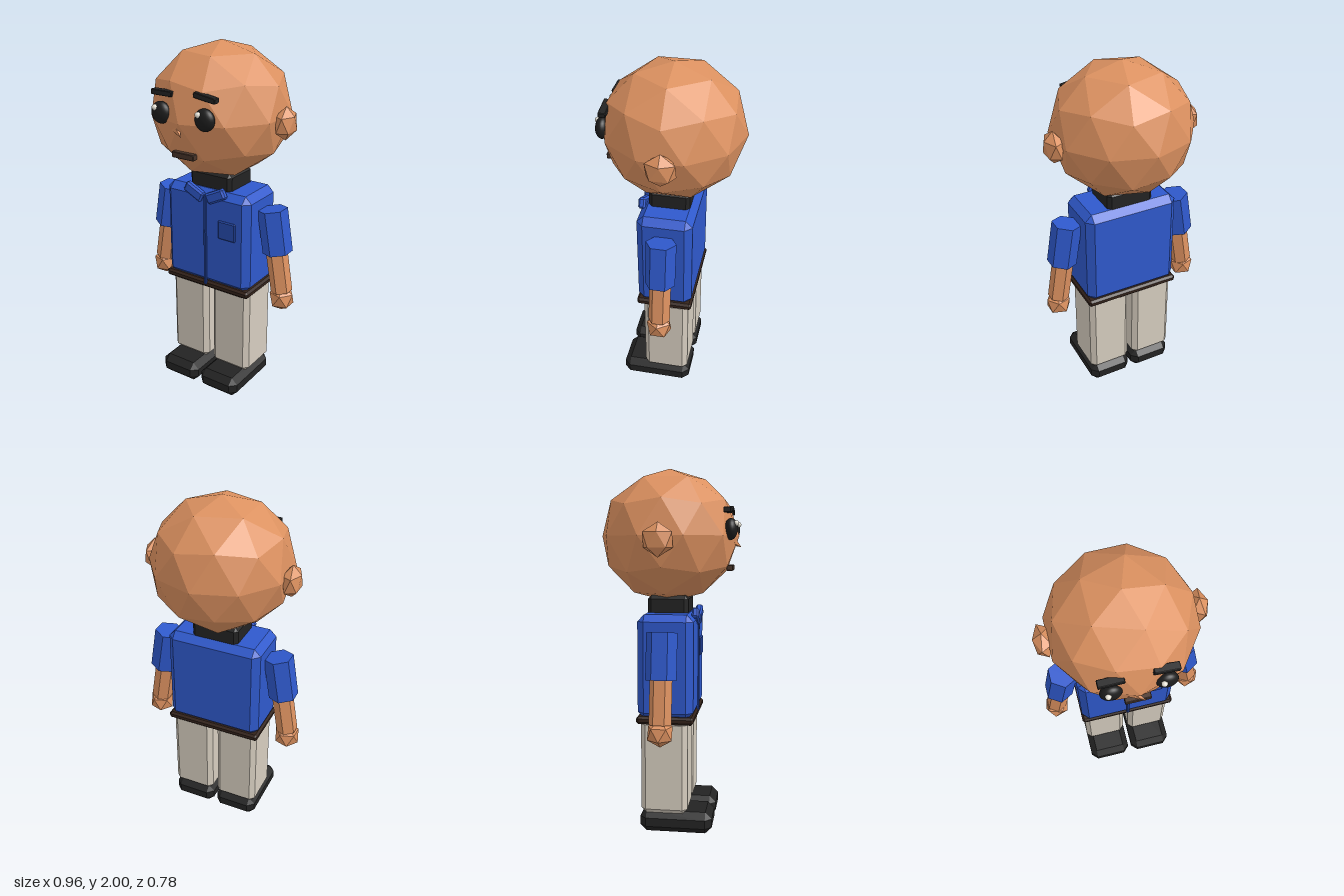
import * as THREE from 'three';
import { ConvexGeometry } from 'three/addons/geometries/ConvexGeometry.js';

const mat = (name, color, flatShading = true) => {
  const m = new THREE.MeshStandardMaterial({ color });
  m.name = name;
  m.flatShading = flatShading;
  return m;
};

export function createModel() {
  const skin = mat('skin', 0xdc9160);
  const blue = mat('shirt blue', 0x2f59cc);
  const darkBlue = mat('dark blue', 0x274bae);
  const beige = mat('trouser beige', 0xd6cdbf);
  const black = mat('black', 0x232323);
  const eyeBlack = mat('eye black', 0x1c1c1c, false);
  const brown = mat('belt brown', 0x33221a);
  const lip = mat('mouth brown', 0x49352a);
  const white = mat('eye highlight', 0xe6e2d6, false);

  const model = new THREE.Group();
  model.name = 'standingMan';

  const add = (name, geometry, material, x, y, z, parent = model) => {
    const mesh = new THREE.Mesh(geometry, material);
    mesh.name = name;
    mesh.position.set(x, y, z);
    parent.add(mesh);
    return mesh;
  };

  // Box with every edge cut by a single flat chamfer
  const chamferBox = (w, h, d, b) => {
    const points = [];
    for (const sx of [-1, 1]) for (const sy of [-1, 1]) for (const sz of [-1, 1]) {
      const x = w / 2, y = h / 2, z = d / 2;
      points.push(
        new THREE.Vector3(sx * x, sy * (y - b), sz * (z - b)),
        new THREE.Vector3(sx * (x - b), sy * y, sz * (z - b)),
        new THREE.Vector3(sx * (x - b), sy * (y - b), sz * z));
    }
    return new ConvexGeometry(points);
  };

  // Icosahedral ball with a corner pointing up and an upper ring corner on +x
  const icoBall = (rx, ry, rz, detail) =>
    new THREE.IcosahedronGeometry(1, detail)
      .rotateX(-Math.atan((1 + Math.sqrt(5)) / 2))
      .rotateY(Math.PI / 2)
      .scale(rx, ry, rz);

  // Head and neck
  add('head', icoBall(0.388, 0.367, 0.386, 1), skin, 0, 1.633, -0.005);
  add('neck', chamferBox(0.27, 0.15, 0.225, 0.02), black, 0, 1.235, 0);

  // Face
  const brow = chamferBox(0.13, 0.028, 0.04, 0.003);
  add('rightBrow', brow, black, -0.132, 1.768, 0.325);
  add('leftBrow', brow, black, 0.132, 1.776, 0.325).rotation.z = -0.15;
  add('mouth', chamferBox(0.136, 0.032, 0.035, 0.003), lip, 0, 1.46, 0.334);

  const noseBase = new THREE.Vector3(-0.04, 1.603, 0.345);
  const noseTip = new THREE.Vector3(0.025, 1.572, 0.392);
  const noseAxis = noseTip.clone().sub(noseBase);
  const noseMid = noseBase.clone().add(noseTip).multiplyScalar(0.5);
  add('nose', new THREE.ConeGeometry(0.025, noseAxis.length(), 4), skin, ...noseMid)
    .quaternion.setFromUnitVectors(new THREE.Vector3(0, 1, 0), noseAxis.normalize());

  const eye = new THREE.SphereGeometry(1, 24, 16).scale(0.056, 0.058, 0.036);
  const glint = new THREE.SphereGeometry(0.016, 12, 8);

  for (const s of [-1, 1]) {
    const side = s > 0 ? 'left' : 'right';

    add(side + 'Eye', eye, eyeBlack, s * 0.136, 1.668, 0.342);
    add(side + 'EyeHighlight', glint, white, s * 0.134 - 0.02, 1.697, 0.37);
    add(side + 'Ear', icoBall(0.055, 0.09, 0.09, 0), skin, s * 0.392, 1.61, -0.013)
      .rotation.y = s > 0 ? 0 : Math.PI;

    // Collar flaps drop towards the middle
    add(side + 'CollarFlap', chamferBox(0.125, 0.062, 0.04, 0.01), blue, s * 0.071, 1.193, 0.152)
      .rotation.z = s * 0.46;

    // Arm: sleeve, forearm and hand, leaning outwards
    const arm = new THREE.Group();
    arm.name = side + 'Arm';
    model.add(arm);
    add(side + 'Sleeve', new THREE.CylinderGeometry(0.083, 0.083, 0.25, 6), blue,
      s * 0.356, 1.006, 0, arm).rotation.z = s * 0.165;
    add(side + 'Forearm', new THREE.CylinderGeometry(0.06, 0.06, 0.27, 6), skin,
      s * 0.387, 0.785, 0, arm).rotation.z = s * 0.165;
    add(side + 'Hand', icoBall(0.076, 0.076, 0.076, 0), skin, s * 0.411, 0.609, 0, arm);

    // Leg and shoe
    add(side + 'TrouserLeg', chamferBox(0.248, 0.53, 0.257, 0.027), beige, s * 0.14, 0.375, -0.003);
    add(side + 'Shoe', chamferBox(0.252, 0.12, 0.4, 0.036), black, s * 0.137, 0.06, 0.06);
  }

  // Shirt and belt
  add('shirt', chamferBox(0.55, 0.572, 0.305, 0.038), blue, 0, 0.929, 0.003);
  add('placket', chamferBox(0.018, 0.55, 0.016, 0.004), darkBlue, 0, 0.915, 0.156);
  add('pocket', chamferBox(0.112, 0.108, 0.02, 0.006), darkBlue, 0.143, 1.004, 0.154);
  add('belt', chamferBox(0.56, 0.042, 0.313, 0.012), brown, 0, 0.64, 0.003);

  return model;
}
